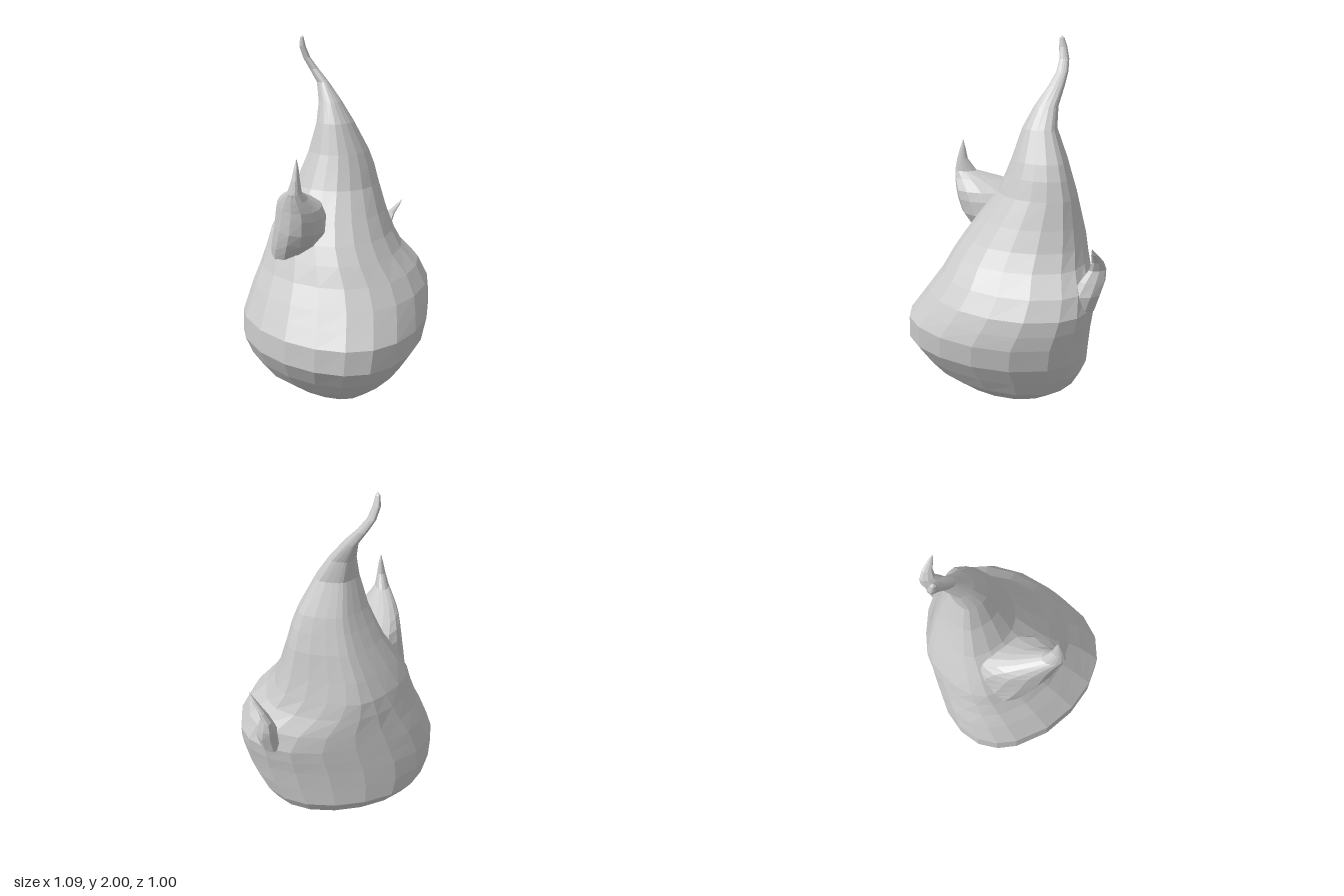
import * as THREE from 'three';

const material = new THREE.MeshStandardMaterial({ color: 0xcccccc, flatShading: true });

// Skin over level rings [y, xMin, xMax, zBack, zFront].
// front and rear narrow each end of a ring at height y (negative fills it out),
// bend(s) shifts points sideways, widest sets where the ring is broadest.
function loft(name, rings, sides, { front, rear, bend, widest }) {
  const pos = [], index = [];
  for (const [y, x0, x1, z0, z1] of rings) {
    const cx = (x0 + x1) / 2, hw = (x1 - x0) / 2;
    const zc = z0 + (z1 - z0) * widest;
    for (let j = 0; j < sides; j++) {
      const a = (j / sides) * Math.PI * 2, s = Math.sin(a), c = Math.cos(a);
      const taper = s > 0 ? front(y) : rear(y);
      const k = c * (1 - taper * s * s) + bend(s);
      pos.push(cx + hw * k, y, zc + s * (s > 0 ? z1 - zc : zc - z0));
    }
  }
  for (let i = 0; i < rings.length - 1; i++) {
    for (let j = 0; j < sides; j++) {
      const a = i * sides + j, b = i * sides + (j + 1) % sides;
      index.push(a, a + sides, b, b, a + sides, b + sides);
    }
  }
  const g = new THREE.BufferGeometry();
  g.setAttribute('position', new THREE.Float32BufferAttribute(pos, 3));
  g.setIndex(index);
  g.computeVertexNormals();
  const mesh = new THREE.Mesh(g, material);
  mesh.name = name;
  return mesh;
}

export function createModel() {
  const group = new THREE.Group();
  group.name = 'flame';

  // Bulbous body, broad at the lower back, drawn up into a hooked tip
  group.add(loft('flameBody', [
    [0.00, -0.03, -0.03, -0.05, -0.05],
    [0.02, -0.16, 0.12, -0.22, 0.09],
    [0.07, -0.31, 0.27, -0.34, 0.22],
    [0.17, -0.44, 0.40, -0.45, 0.35],
    [0.26, -0.50, 0.45, -0.50, 0.43],
    [0.37, -0.545, 0.50, -0.50, 0.505],
    [0.50, -0.54, 0.53, -0.50, 0.505],
    [0.58, -0.505, 0.542, -0.50, 0.45],
    [0.66, -0.47, 0.545, -0.50, 0.395],
    [0.76, -0.42, 0.50, -0.50, 0.32],
    [0.86, -0.38, 0.405, -0.50, 0.255],
    [0.95, -0.35, 0.36, -0.495, 0.19],
    [1.06, -0.29, 0.325, -0.465, 0.11],
    [1.20, -0.20, 0.29, -0.42, 0.01],
    [1.30, -0.155, 0.262, -0.385, -0.03],
    [1.38, -0.12, 0.23, -0.36, -0.06],
    [1.54, -0.075, 0.14, -0.305, -0.12],
    [1.65, -0.05, 0.08, -0.315, -0.185],
    [1.75, -0.04, 0.025, -0.355, -0.265],
    [1.82, -0.07, -0.02, -0.385, -0.32],
    [1.88, -0.10, -0.06, -0.40, -0.345],
    [1.94, -0.12, -0.085, -0.395, -0.35],
    [1.985, -0.118, -0.098, -0.38, -0.352],
    [2.00, -0.107, -0.107, -0.364, -0.364],
  ], 20, {
    front: (y) => 0.25 * Math.max(0, 1 - y / 1.3),
    rear: (y) => THREE.MathUtils.lerp(-0.12, 0.5, THREE.MathUtils.smoothstep(y, 0.65, 1.05)),
    bend: (s) => -0.07 * s * s,
    widest: 0.37,
  }));

  // Broad side tongue that overhangs the front and ends in a thin spike
  group.add(loft('largeTongue', [
    [0.72, -0.34, 0.00, -0.34, -0.02],
    [0.84, -0.375, -0.02, -0.34, 0.02],
    [0.90, -0.38, -0.03, -0.33, 0.07],
    [0.95, -0.38, -0.05, -0.32, 0.11],
    [1.02, -0.378, -0.07, -0.30, 0.155],
    [1.10, -0.373, -0.10, -0.27, 0.178],
    [1.15, -0.37, -0.13, -0.23, 0.185],
    [1.18, -0.367, -0.18, -0.17, 0.185],
    [1.21, -0.363, -0.23, -0.08, 0.183],
    [1.25, -0.357, -0.28, 0.06, 0.18],
    [1.32, -0.34, -0.295, 0.11, 0.168],
    [1.38, -0.325, -0.30, 0.122, 0.152],
    [1.43, -0.31, -0.31, 0.135, 0.135],
  ], 14, { front: () => 0, rear: () => 0, bend: (s) => -0.25 * s, widest: 0.5 }));

  // Small curled tongue at the opposite rear corner
  group.add(loft('smallTongue', [
    [0.66, 0.36, 0.47, -0.41, -0.25],
    [0.75, 0.375, 0.49, -0.43, -0.27],
    [0.82, 0.395, 0.478, -0.45, -0.31],
    [0.88, 0.415, 0.465, -0.45, -0.355],
    [0.93, 0.445, 0.48, -0.425, -0.36],
    [0.98, 0.48, 0.50, -0.38, -0.345],
    [1.02, 0.508, 0.508, -0.34, -0.34],
  ], 8, { front: () => 0, rear: () => 0, bend: () => 0, widest: 0.5 }));

  return group;
}
